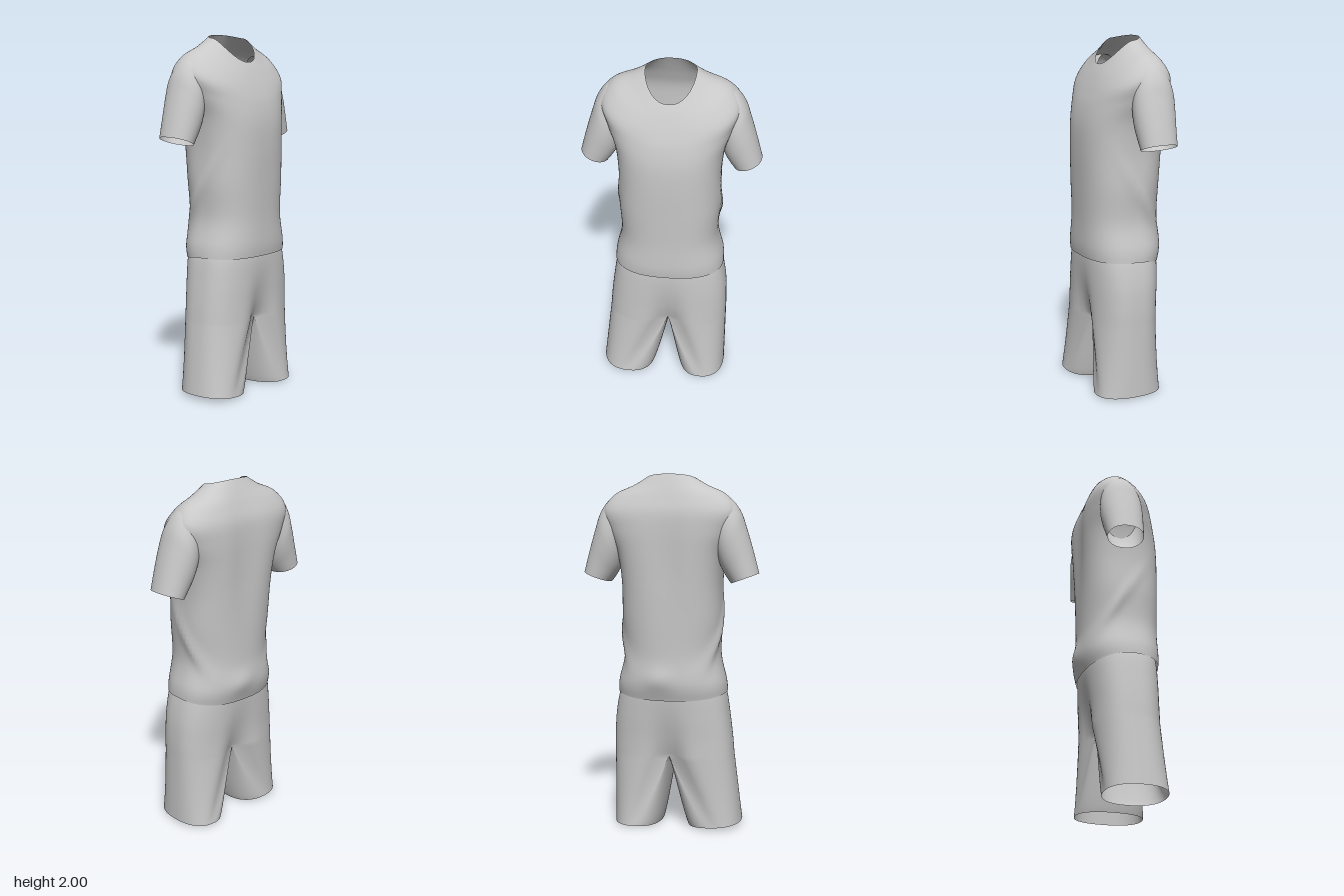
import * as THREE from 'three';
import { mergeGeometries, mergeVertices } from 'three/addons/utils/BufferGeometryUtils.js';

const N = 72; // points around every ring
const bump = (v, width) => Math.exp(-((v / width) ** 2));
const spow = (v, e) => Math.sign(v) * Math.abs(v) ** e;

// Smoothly interpolate a table of ring parameters at t in 0..1
function sampleRows(rows, t) {
  const f = t * (rows.length - 1);
  const i = Math.min(Math.floor(f), rows.length - 2);
  const u = f - i;
  const at = k => rows[Math.max(0, Math.min(rows.length - 1, k))];
  return rows[i].map((_, k) => {
    const p0 = at(i - 1)[k], p1 = at(i)[k], p2 = at(i + 1)[k], p3 = at(i + 2)[k];
    return p1 + 0.5 * u * (p2 - p0 + u * (2 * p0 - 5 * p1 + 4 * p2 - p3 + u * (3 * (p1 - p2) + p3 - p0)));
  });
}

// Open tube of cross-sections, bottom to top; point(t, angle) returns [x, y, z]
function loft(steps, point, { start = 0, flip = false } = {}) {
  const pos = [], index = [];
  for (let r = 0; r <= steps; r++) {
    for (let j = 0; j < N; j++) pos.push(...point(r / steps, start + (j / N) * Math.PI * 2));
  }
  for (let r = 0; r < steps; r++) {
    for (let j = 0; j < N; j++) {
      const a = r * N + j, b = r * N + ((j + 1) % N), c = a + N, d = b + N;
      if (flip) index.push(a, b, c, b, d, c);
      else index.push(a, c, b, b, c, d);
    }
  }
  const g = new THREE.BufferGeometry();
  g.setAttribute('position', new THREE.Float32BufferAttribute(pos, 3));
  g.setIndex(index);
  g.computeVertexNormals();
  return g;
}

// Shirt body rings: front y, front z, side x, side y, side z, back y, back z, front and back squareness
const bodyRows = [
  [0.782, 0.226, 0.312, 0.785, 0.01, 0.75, -0.195, 2.5, 2.4],
  [0.85, 0.231, 0.306, 0.85, 0.0, 0.84, -0.215, 2.5, 2.3],
  [1.0, 0.228, 0.274, 1.0, 0.0, 1.0, -0.21, 2.5, 2.2],
  [1.2, 0.231, 0.283, 1.2, 0.0, 1.2, -0.212, 2.5, 2.4],
  [1.38, 0.233, 0.282, 1.4, 0.0, 1.4, -0.217, 2.5, 2.8],
  [1.52, 0.227, 0.3, 1.56, -0.02, 1.56, -0.222, 2.5, 3.0],
  [1.63, 0.206, 0.347, 1.69, -0.05, 1.69, -0.222, 2.4, 3.0],
  [1.71, 0.177, 0.376, 1.8, -0.058, 1.79, -0.213, 2.4, 3.0],
  [1.77, 0.15, 0.315, 1.888, -0.058, 1.87, -0.185, 2.3, 2.7],
  [1.815, 0.127, 0.21, 1.938, -0.045, 1.94, -0.153, 2.2, 2.3],
  [1.85, 0.105, 0.135, 1.98, -0.035, 2.0, -0.122, 2.2, 2.2],
];

function bodyPoint(t, a) {
  const [fy, fz, sx, sy, sz, by, bz, nf, nb] = sampleRows(bodyRows, t);
  const c = Math.cos(a), s = Math.sin(a), n = s > 0 ? nf : nb;
  const w = Math.abs(s) ** (2 / n), h = Math.abs(s) ** 1.3;
  let x = sx * spow(c, 2 / n);
  const y = sy + ((s > 0 ? fy : by) - sy) * h;
  let z = sz + ((s > 0 ? fz : bz) - sz) * w;
  // diagonal side folds running down to the back of the hips
  const fold = bump(z - 0.1 + (1.35 - y) * 0.62, 0.035) * bump(y - 1.08, 0.2);
  x += 0.016 * fold * spow(c, 0.5);
  // hollow along the spine and the soft drape between the hips
  if (s < 0) z += 0.016 * bump(x, 0.09) * bump(y - 1.6, 0.3) * w;
  if (s < 0) z -= 0.016 * bump(x - 0.03, 0.08) * bump(y - 0.87, 0.06);
  return [x, y, z];
}

// Sleeve rings: outer x, outer y, inner x, inner y, centre z, half depth
const sleeveRows = [
  [0.497, 1.458, 0.345, 1.403, -0.053, 0.102],
  [0.464, 1.58, 0.318, 1.44, -0.053, 0.11],
  [0.428, 1.7, 0.295, 1.48, -0.055, 0.118],
  [0.394, 1.795, 0.275, 1.53, -0.058, 0.118],
  [0.335, 1.868, 0.25, 1.6, -0.06, 0.1],
  [0.255, 1.88, 0.22, 1.68, -0.06, 0.06],
];

const sleeve = side => loft(24, (t, a) => {
  const [ox, oy, ix, iy, cz, hz] = sampleRows(sleeveRows, t);
  const k = (1 + Math.cos(a)) / 2;
  return [side * (ix + (ox - ix) * k), iy + (oy - iy) * k, cz + hz * spow(Math.sin(a), 0.9)];
}, { flip: side < 0 });

// Shorts hip rings: y, left x, right x, front z, back z, centre groove
const hipRows = [
  [0.42, 0.336, 0.35, 0.22, -0.17, 0.36],
  [0.52, 0.336, 0.341, 0.218, -0.172, 0.19],
  [0.65, 0.328, 0.325, 0.217, -0.18, 0.06],
  [0.78, 0.304, 0.304, 0.212, -0.186, 0],
  [0.88, 0.27, 0.27, 0.195, -0.18, 0],
];

function hipPoint(t, a) {
  const [y, lx, rx, fz, bz, groove] = sampleRows(hipRows, t);
  const c = Math.cos(a), s = Math.sin(a);
  const x = (c > 0 ? lx : rx) * spow(c, 0.8);
  const z = 0.02 + (s > 0 ? fz - 0.02 : 0.02 - bz) * spow(s, 0.72);
  return [x, y, 0.02 + (z - 0.02) * (1 - groove * bump(x, 0.085))];
}

// Each leg blends from its hem to half of the hip ring plus a sagging crotch seam
function leg(side, hem) {
  return loft(24, (t, a) => {
    const c = Math.cos(a), s = Math.sin(a);
    let top = hipPoint(0, side > 0 ? a : Math.PI - a);
    if (c < 0) {
      const edge = hipPoint(0, (Math.sign(s) || 1) * Math.PI / 2);
      top = [0, 0.42 - 0.06 * c * c, 0.02 + (edge[2] - 0.02) * Math.abs(s)];
    }
    const low = [
      side * (hem.x + hem.w * spow(c, 0.85)),
      hem.y + hem.tilt * c,
      hem.z + hem.d * spow(s, 0.85),
    ];
    const k = c < 0 ? t ** 0.85 : t;
    return [low[0] + (top[0] - low[0]) * k, low[1] + (top[1] - low[1]) * t, low[2] + (top[2] - low[2]) * t];
  }, { start: -Math.PI / 2, flip: side < 0 });
}

export function createModel() {
  const fabric = new THREE.MeshStandardMaterial({ color: 0xc8c8c8, side: THREE.DoubleSide });
  fabric.name = 'grey fabric';
  const add = (parent, name, geometry) => {
    const mesh = new THREE.Mesh(geometry, fabric);
    mesh.name = name;
    parent.add(mesh);
  };

  const model = new THREE.Group();
  model.name = 'shirtAndShorts';

  // Short-sleeved shirt
  const shirt = new THREE.Group();
  shirt.name = 'shirt';
  add(shirt, 'shirtBody', loft(80, bodyPoint));
  add(shirt, 'leftSleeve', sleeve(1));
  add(shirt, 'rightSleeve', sleeve(-1));
  model.add(shirt);

  // Shorts, welded into one smooth surface
  const parts = [
    loft(24, hipPoint),
    leg(1, { x: 0.202, w: 0.133, y: 0.01, tilt: 0.002, z: 0.027, d: 0.19 }),
    leg(-1, { x: 0.243, w: 0.152, y: 0.017, tilt: 0.012, z: 0.045, d: 0.173 }),
  ];
  parts.forEach(g => g.deleteAttribute('normal'));
  const shorts = mergeVertices(mergeGeometries(parts), 1e-4);
  shorts.computeVertexNormals();
  add(model, 'shorts', shorts);

  return model;
}
